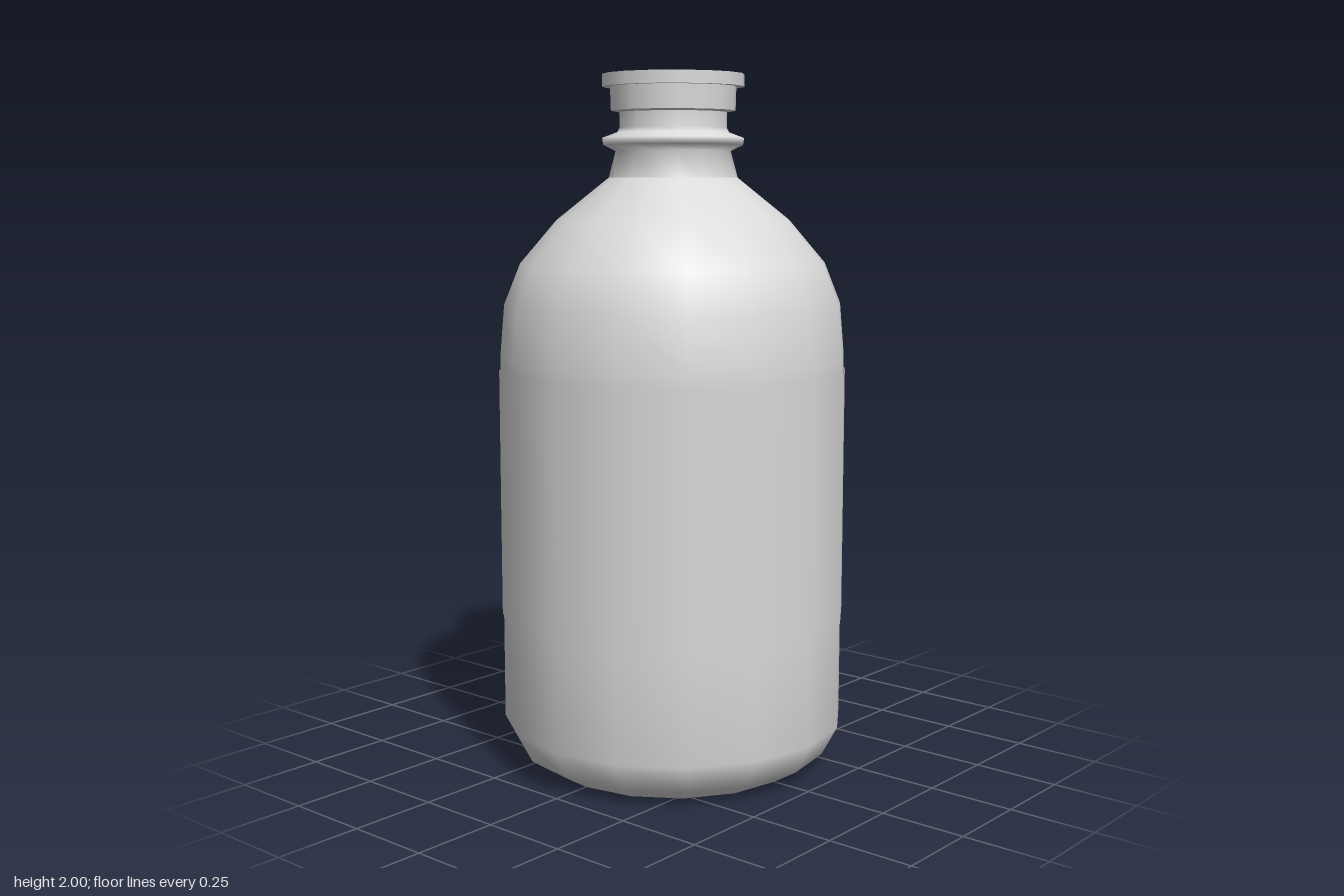
import * as THREE from 'three';

const SIDES = 16;

export function createModel() {
  const group = new THREE.Group();
  group.name = 'bottle';
  const grey = new THREE.MeshStandardMaterial({ color: 0xd9d9d9, side: THREE.DoubleSide });
  grey.name = 'light grey';

  // Turns a [radius, height] profile around y; start and count are in sides.
  function turn(name, profile, start = 0, count = SIDES) {
    const step = (Math.PI * 2) / SIDES;
    const points = profile.map(([r, y]) => new THREE.Vector2(r, y));
    const geometry = new THREE.LatheGeometry(points, count, start * step, count * step);
    const mesh = new THREE.Mesh(geometry, grey);
    mesh.name = name;
    group.add(mesh);
  }

  // Bottle: flat base, rounded foot, straight wall and domed shoulder
  turn('base', [[0, 0], [0.38, 0]]);
  turn('body', [
    [0.38, 0], [0.455, 0.045], [0.5, 0.13], [0.5, 0.44], [0.5, 1.16], [0.5, 1.2],
    [0.487, 1.35], [0.44, 1.467], [0.335, 1.59], [0.185, 1.71],
  ]);

  // Neck with its carrying ring
  turn('neck', [
    [0.185, 1.71], [0.165, 1.785], [0.2, 1.802], [0.203, 1.822],
    [0.16, 1.838], [0.154, 1.85], [0.154, 1.895],
  ]);

  // Stopper: plug, overhanging lip and flat top, with crisp edges between
  turn('stopperUnderside', [[0.15, 1.893], [0.178, 1.898]]);
  turn('stopperPlug', [[0.178, 1.898], [0.18, 1.965]]);
  turn('lipUnderside', [[0.18, 1.965], [0.203, 1.965]]);
  turn('lip', [[0.203, 1.965], [0.203, 2]]);
  turn('stopperTop', [[0.203, 2], [0, 2]]);

  // Thin labels wrapped around the straight wall
  turn('mainLabel', [[0.5, 0.44], [0.504, 0.44], [0.504, 1.16], [0.5, 1.16]].slice(1, 3), 0, 12);
  turn('smallLabel', [[0.503, 0.52], [0.503, 1.12]], 12, 3);

  return group;
}
